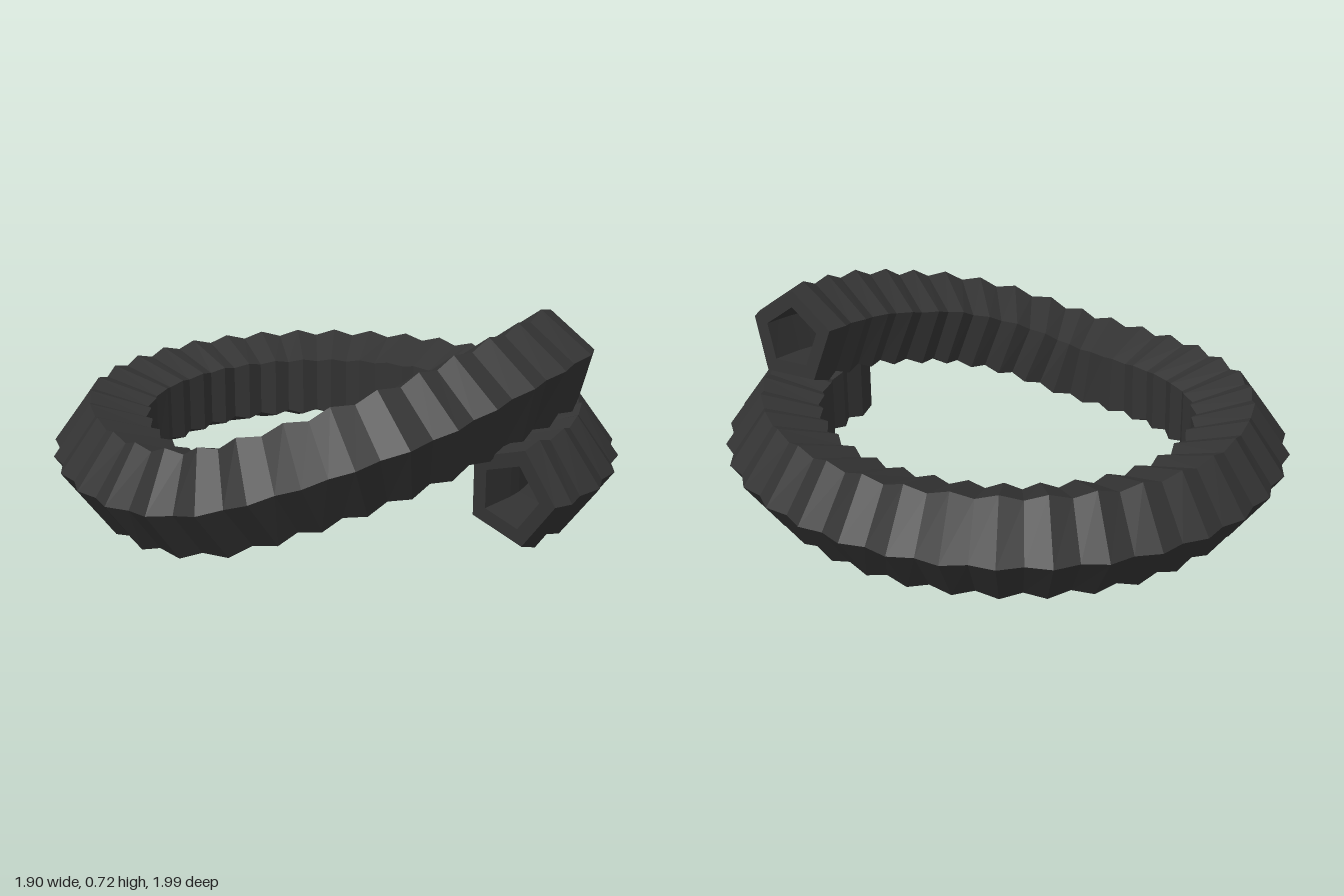
import * as THREE from 'three';

const SIDES = 5, RIBS = 38, PEAK = 0.19, VALLEY = 0.168, BORE = 0.11;

// Centre line: a flat loop that climbs over its own start
function hosePath() {
  const pts = [];
  for (let i = 0; i <= 12; i++) {
    const a = -0.107 + (Math.PI + 0.107) * i / 12;
    pts.push(new THREE.Vector3(0.755 * Math.sin(a), 0.215, 0.81 * Math.cos(a)));
  }
  const rise = [
    [-0.29, 0.213, -0.76], [-0.53, 0.205, -0.61], [-0.7, 0.195, -0.36], [-0.765, 0.19, -0.09],
    [-0.73, 0.22, 0.14], [-0.6, 0.31, 0.36], [-0.4, 0.395, 0.53], [-0.2, 0.45, 0.61],
    [0, 0.5, 0.655], [0.2, 0.53, 0.665], [0.365, 0.55, 0.65],
  ];
  rise.forEach(p => pts.push(new THREE.Vector3(...p)));
  const curve = new THREE.CatmullRomCurve3(pts, false, 'centripetal');
  curve.arcLengthDivisions = 600;
  return curve;
}

// Five-sided cross-section at u, one corner pointing outward, rolling up near the end
function ring(curve, u, radius) {
  const c = curve.getPointAt(u), t = curve.getTangentAt(u);
  const out = new THREE.Vector3().crossVectors(t, new THREE.Vector3(0, 1, 0)).normalize();
  const up = new THREE.Vector3().crossVectors(out, t);
  const roll = THREE.MathUtils.degToRad(18) * THREE.MathUtils.smoothstep(u, 0.7, 1);
  return Array.from({ length: SIDES }, (_, k) => {
    const a = roll + k * 2 * Math.PI / SIDES;
    return c.clone().addScaledVector(out, radius * Math.cos(a)).addScaledVector(up, radius * Math.sin(a));
  });
}

// Joins the rings, and the last ring back to the first
function loft(rings) {
  const pos = [], idx = [], n = rings.length;
  rings.forEach((r, i) => r.forEach((p, k) => {
    pos.push(p.x, p.y, p.z);
    const k2 = (k + 1) % SIDES, i2 = (i + 1) % n;
    const a = i * SIDES + k, b = i * SIDES + k2, c = i2 * SIDES + k, d = i2 * SIDES + k2;
    idx.push(a, c, d, a, d, b);
  }));
  const g = new THREE.BufferGeometry();
  g.setAttribute('position', new THREE.Float32BufferAttribute(pos, 3));
  g.setIndex(idx);
  const flat = g.toNonIndexed();
  flat.computeVertexNormals();
  return flat;
}

export function createModel() {
  const group = new THREE.Group();
  group.name = 'coiledHose';
  const curve = hosePath(), n = RIBS * 2, rings = [];
  // Ribbed outside, then back through the smooth bore
  for (let i = 0; i <= n; i++) rings.push(ring(curve, i / n, i % 2 ? PEAK : VALLEY));
  for (let i = n; i >= 0; i--) rings.push(ring(curve, i / n, BORE));
  const hose = new THREE.Mesh(loft(rings),
    new THREE.MeshStandardMaterial({ color: 0x333333, flatShading: true }));
  hose.name = 'corrugatedHose';
  group.add(hose);
  return group;
}
